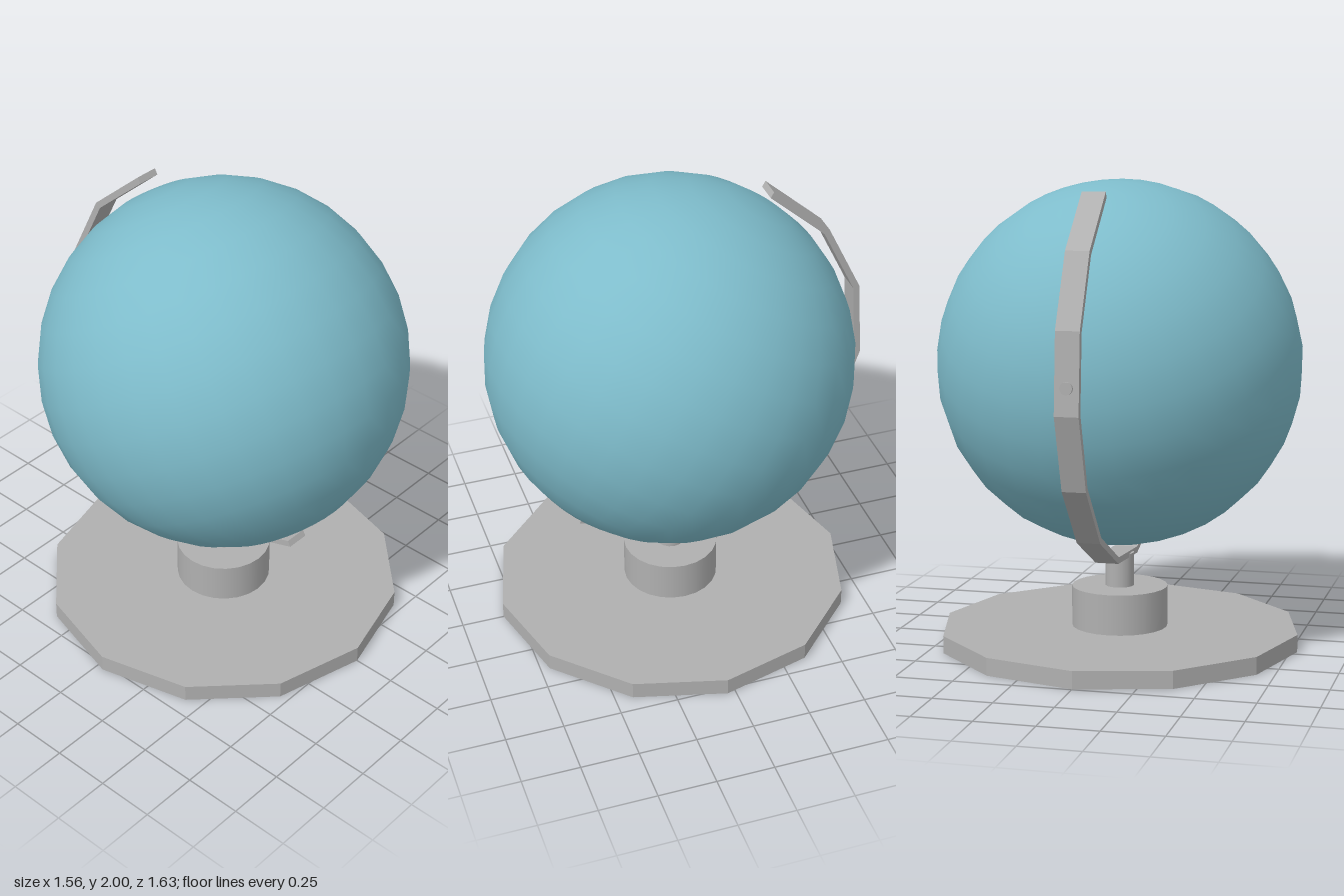
import * as THREE from 'three';

const CENTRE_Y = 1.22, CENTRE_Z = 0.035, RADIUS = 0.78;

export function createModel() {
  const model = new THREE.Group();
  model.name = 'deskGlobe';
  const blue = new THREE.MeshStandardMaterial({ color: 0x7ebccb });
  blue.name = 'globeBlue';
  const grey = new THREE.MeshStandardMaterial({ color: 0xb0b0b0 });
  grey.name = 'standGrey';
  const flatGrey = new THREE.MeshStandardMaterial({ color: 0xb0b0b0, flatShading: true });
  flatGrey.name = 'facetedStandGrey';

  const add = (name, geometry, material, y) => {
    const mesh = new THREE.Mesh(geometry, material);
    mesh.name = name;
    mesh.position.set(0, y, CENTRE_Z);
    model.add(mesh);
    return mesh;
  };
  // Upright cylinder between two heights
  const disc = (name, r, y0, y1, sides, material) =>
    add(name, new THREE.CylinderGeometry(r, r, y1 - y0, sides), material, (y0 + y1) / 2);

  // Stand
  disc('base', RADIUS, 0, 0.075, 12, flatGrey);
  disc('hub', 0.207, 0.075, 0.25, 24, grey);
  disc('post', 0.062, 0.25, 0.395, 16, grey);

  // Ball, its axis tilted towards the back
  const globe = add('globe', new THREE.SphereGeometry(RADIUS, 32, 16), blue, CENTRE_Y);
  globe.rotation.x = -Math.PI / 6;

  // Half-ring arm of eight straight segments, from pole to pole
  const steps = 8, width = 0.1, points = [];
  const arc = (r, i) => {
    const a = Math.PI / 3 - (i / steps) * Math.PI;
    return new THREE.Vector2(r * Math.cos(a), r * Math.sin(a));
  };
  for (let i = 0; i <= steps; i++) points.push(arc(0.857, i));
  for (let i = steps; i >= 0; i--) points.push(arc(0.829, i));
  const armGeometry = new THREE.ExtrudeGeometry(new THREE.Shape(points), { depth: width, bevelEnabled: false });
  armGeometry.translate(0, 0, -width / 2).rotateY(Math.PI / 2);
  add('arm', armGeometry, flatGrey, CENTRE_Y);

  // Pin joining the ball to the arm
  const pin = add('pin', new THREE.CylinderGeometry(0.026, 0.026, 0.09, 12), grey, CENTRE_Y);
  pin.rotation.x = Math.PI / 2;
  pin.position.z = -0.774;

  return model;
}
